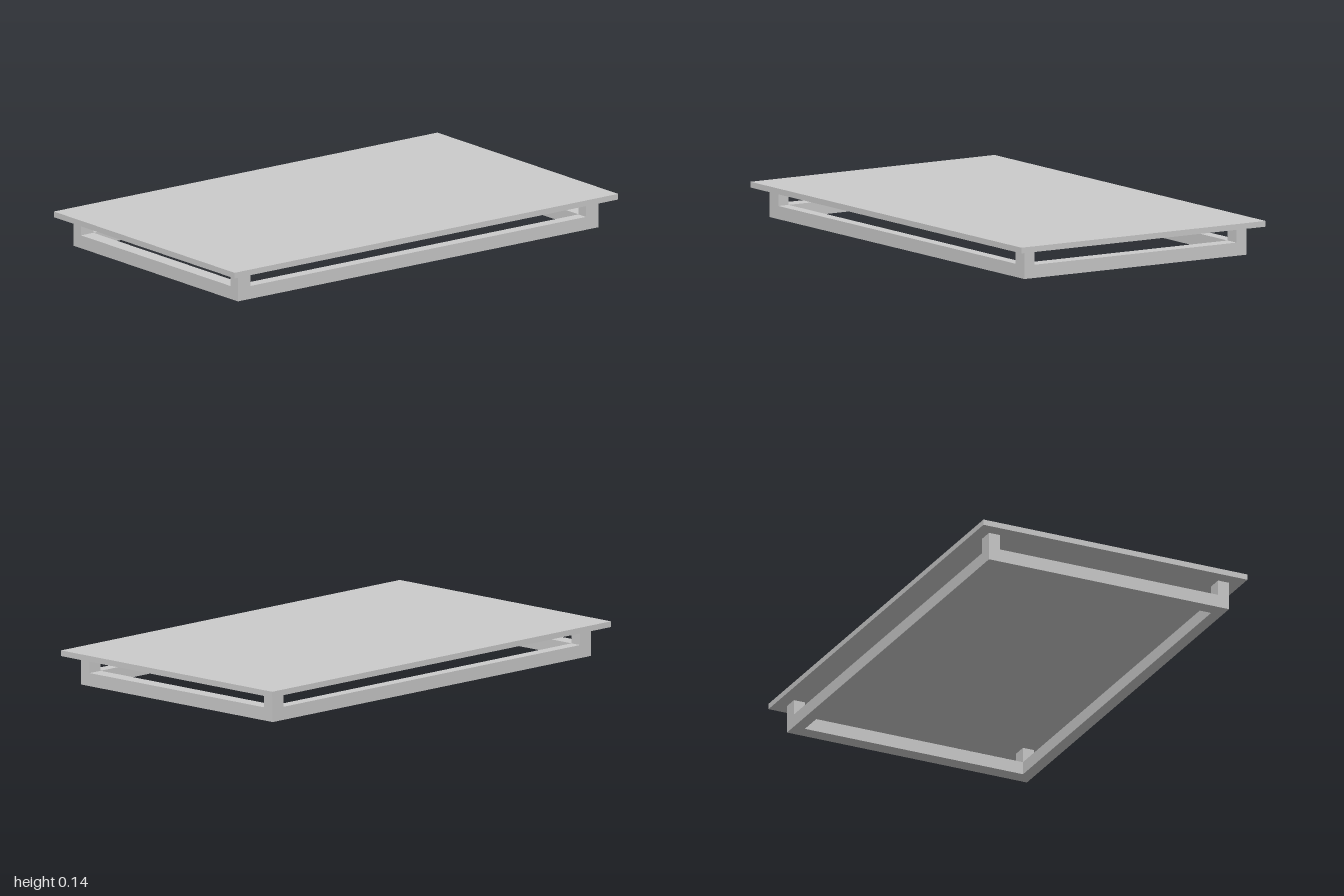
import * as THREE from 'three';

export function createModel() {
  const group = new THREE.Group();
  const material = new THREE.MeshStandardMaterial({ color: 0xcccccc, flatShading: true });

  // Overall sizes
  const halfX = 0.94, halfZ = 0.55;   // outside of the base frame
  const legX = 0.065, legZ = 0.05;    // leg and rail thickness
  const railTop = 0.055, legTop = 0.12, top = 0.144;

  // Box standing between heights y0 and y1
  function addBox(name, width, depth, y0, y1, x = 0, z = 0) {
    const mesh = new THREE.Mesh(new THREE.BoxGeometry(width, y1 - y0, depth), material);
    mesh.name = name;
    mesh.position.set(x, (y0 + y1) / 2, z);
    group.add(mesh);
  }

  // Thin overhanging top
  addBox('tabletop', 2, 1.21, legTop, top);

  // Open rectangular base frame
  const outline = new THREE.Shape([
    [-halfX, -halfZ], [halfX, -halfZ], [halfX, halfZ], [-halfX, halfZ],
  ].map(([x, y]) => new THREE.Vector2(x, y)));
  const ix = halfX - legX, iz = halfZ - legZ;
  outline.holes.push(new THREE.Path([
    [-ix, -iz], [-ix, iz], [ix, iz], [ix, -iz],
  ].map(([x, y]) => new THREE.Vector2(x, y))));
  const frameGeometry = new THREE.ExtrudeGeometry(outline, { depth: railTop, bevelEnabled: false });
  frameGeometry.rotateX(-Math.PI / 2);
  const frame = new THREE.Mesh(frameGeometry, material);
  frame.name = 'baseFrame';
  group.add(frame);

  // Short corner legs between the frame and the top
  for (const sx of [-1, 1]) {
    for (const sz of [-1, 1]) {
      const name = (sz > 0 ? 'front' : 'back') + (sx > 0 ? 'Left' : 'Right') + 'Leg';
      addBox(name, legX, legZ, railTop, legTop, sx * (halfX - legX / 2), sz * (halfZ - legZ / 2));
    }
  }

  return group;
}
